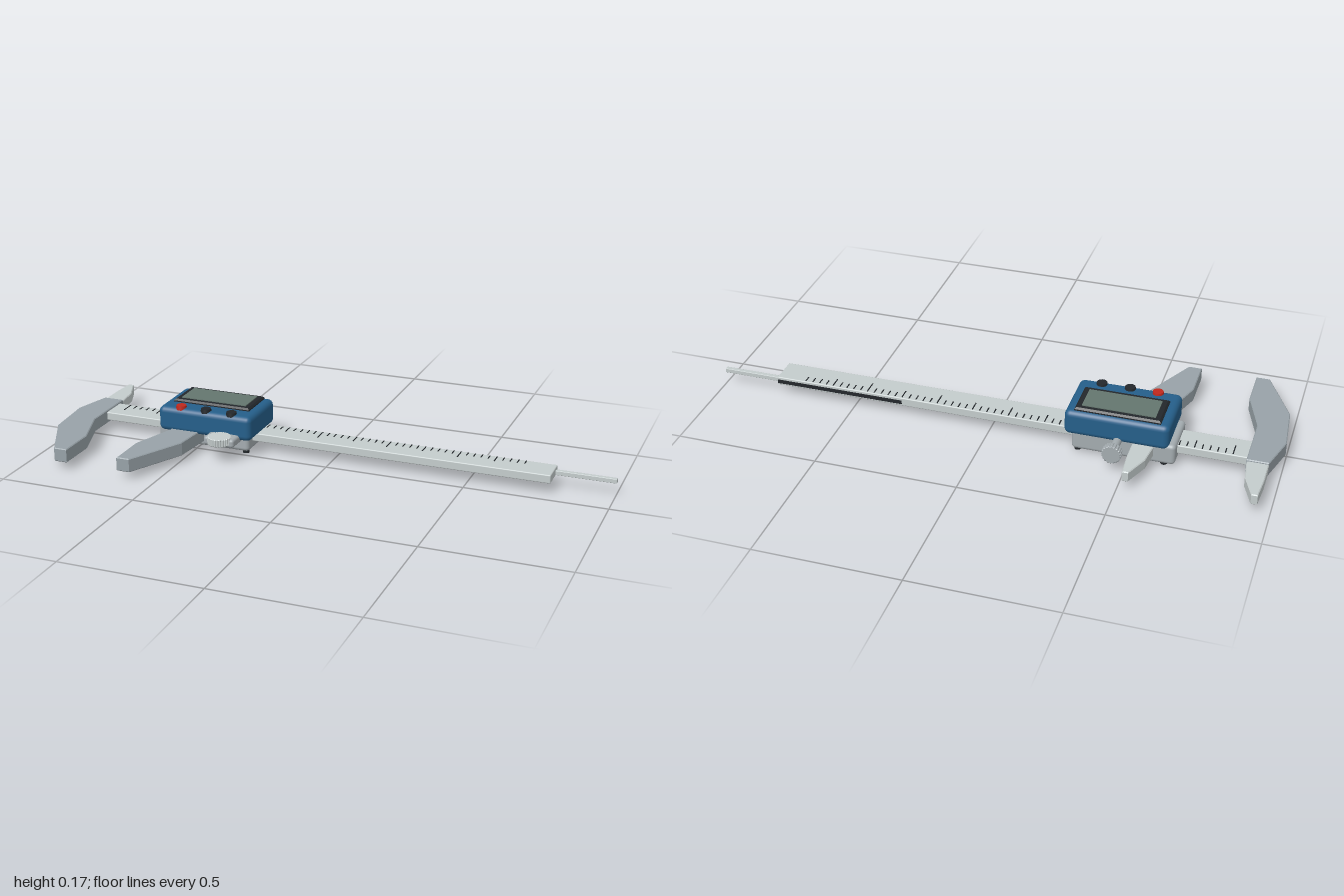
import * as THREE from 'three';
import { RoundedBoxGeometry } from 'three/addons/geometries/RoundedBoxGeometry.js';

const mat = (color) => new THREE.MeshStandardMaterial({ color });
const steel = mat(0xc4cccc);
const jawSteel = mat(0x98a2a8);
const bodyGrey = mat(0xa4acb0);
const blue = mat(0x255f8a);
const black = mat(0x23272b);
const red = mat(0xc0281c);
const glass = mat(0x64766e);

export function createModel() {
  const root = new THREE.Group();
  root.name = 'digitalCaliper';

  const add = (name, geometry, material, x = 0, y = 0, z = 0) => {
    const mesh = new THREE.Mesh(geometry, material);
    mesh.name = name;
    mesh.position.set(x, y, z);
    root.add(mesh);
    return mesh;
  };

  // Box given by its extents on each axis; r > 0 rounds the edges
  const block = (name, material, [x0, x1], [y0, y1], [z0, z1], r = 0) => {
    const size = [x1 - x0, y1 - y0, z1 - z0];
    const geometry = r ? new RoundedBoxGeometry(...size, 3, r) : new THREE.BoxGeometry(...size);
    return add(name, geometry, material, (x0 + x1) / 2, (y0 + y1) / 2, (z0 + z1) / 2);
  };

  // Horizontal plate from [x, z] corners, between two heights, with a small bevel
  const plate = (name, points, y0, y1, material, bevel = 0.003) => {
    const shape = new THREE.Shape(points.map(([x, z]) => new THREE.Vector2(x, -z)));
    const geometry = new THREE.ExtrudeGeometry(shape, {
      depth: y1 - y0 - 2 * bevel, bevelThickness: bevel, bevelSize: bevel,
      bevelOffset: -bevel, bevelSegments: 1,
    });
    geometry.rotateX(-Math.PI / 2);
    return add(name, geometry, material, 0, y0 + bevel, 0);
  };

  // Ribbed disc around y, centred on its own origin
  const knurled = (radius, height, ribs) => {
    const points = [];
    for (let i = 0; i < ribs * 4; i++) {
      const a = (i / (ribs * 4)) * Math.PI * 2;
      const r = i % 4 < 2 ? radius : radius * 0.93;
      points.push(new THREE.Vector2(Math.cos(a) * r, Math.sin(a) * r));
    }
    const bevel = 0.002;
    const geometry = new THREE.ExtrudeGeometry(new THREE.Shape(points), {
      depth: height - 2 * bevel, bevelThickness: bevel, bevelSize: bevel,
      bevelOffset: -bevel, bevelSegments: 1,
    });
    geometry.translate(0, 0, bevel - height / 2);
    return geometry.rotateX(-Math.PI / 2);
  };

  // Beam, with the depth rod and its slot along the back edge
  block('beam', steel, [-0.91, 0.79], [0.039, 0.07], [-0.148, -0.046], 0.004);
  block('depthRod', steel, [0.7, 1], [0.043, 0.059], [-0.135, -0.119], 0.002);
  block('depthRodSlot', black, [0.32, 0.788], [0.046, 0.06], [-0.1495, -0.14]);

  // Engraved scale: every fifth mark is longer, every tenth longest
  for (let i = 0; i < 60; i++) {
    const length = i % 10 === 0 ? 0.052 : i % 5 === 0 ? 0.042 : 0.026;
    const x = -0.84 + i * 0.0258;
    block('scaleMark', black, [x - 0.002, x + 0.002], [0.069, 0.0712], [-0.142, -0.142 + length]);
  }

  // Jaws: the sliding pair mirrors the fixed pair
  const outsideJaw = [
    [-0.963, -0.17], [-0.888, -0.17], [-0.888, 0.045], [-0.834, 0.205],
    [-0.834, 0.35], [-0.882, 0.35], [-0.984, 0.145], [-1, -0.035],
  ];
  const insideJaw = [
    [-0.957, -0.35], [-0.936, -0.35], [-0.9, -0.262], [-0.888, -0.16],
    [-0.963, -0.16], [-0.963, -0.262],
  ];
  const mirrored = (points) => points.map(([x, z]) => [-1.472 - x, z]);
  plate('fixedOutsideJaw', outsideJaw, 0.027, 0.077, jawSteel);
  plate('fixedInsideJaw', insideJaw, 0.033, 0.071, steel);
  plate('slidingOutsideJaw', mirrored(outsideJaw), 0.027, 0.077, jawSteel);
  plate('slidingInsideJaw', mirrored(insideJaw), 0.033, 0.071, steel);

  // Slider carriage on four feet
  block('carriage', bodyGrey, [-0.655, -0.3], [0.009, 0.085], [-0.182, -0.008], 0.014);
  for (const x of [-0.615, -0.318]) {
    for (const z of [-0.16, -0.029]) {
      add('foot', new THREE.CylinderGeometry(0.0115, 0.0115, 0.014, 20), black, x, 0.007, z);
    }
  }

  // Display housing, bezel and screen
  block('displayHousing', blue, [-0.632, -0.273], [0.066, 0.157], [-0.188, 0.038], 0.02);
  plate('displayBezel', [[-0.6, -0.172], [-0.305, -0.172], [-0.305, -0.029], [-0.6, -0.029]],
    0.15, 0.167, black, 0.006);
  block('displayScreen', glass, [-0.578, -0.326], [0.16, 0.17], [-0.153, -0.049]);

  // Buttons
  [[-0.549, red], [-0.452, black], [-0.353, black]].forEach(([x, material]) => {
    add('button', new THREE.CylinderGeometry(0.018, 0.02, 0.015, 28), material, x, 0.1575, 0.015);
  });

  // Thumb wheel and its bracket
  block('thumbWheelBracket', bodyGrey, [-0.43, -0.315], [0.057, 0.088], [-0.02, 0.09], 0.01);
  add('thumbWheel', knurled(0.043, 0.028, 28), steel, -0.372, 0.08, 0.08);

  // Locking screw at the back
  const stem = new THREE.CylinderGeometry(0.0145, 0.0145, 0.09, 24).rotateX(Math.PI / 2);
  add('lockScrewStem', stem, bodyGrey, -0.459, 0.072, -0.205);
  add('lockScrewKnob', knurled(0.034, 0.027, 20).rotateX(Math.PI / 2), bodyGrey, -0.459, 0.072, -0.2585);

  return root;
}
